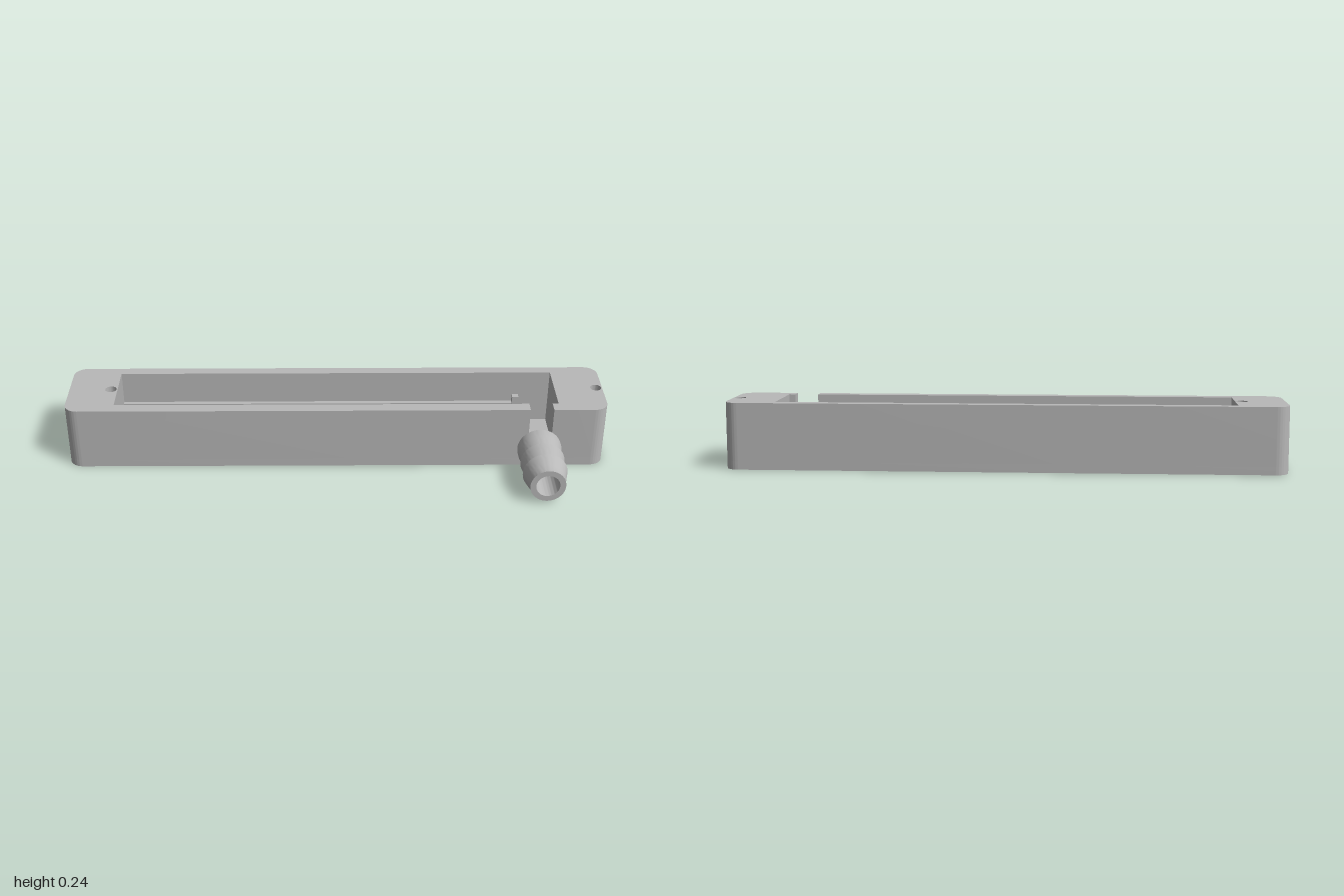
import * as THREE from 'three';
import { toCreasedNormals } from 'three/addons/utils/BufferGeometryUtils.js';

const FRONT = 0.035, BACK = -0.28, TOP = 0.24, FLOOR = 0.03;
const IN_FRONT = -0.01, IN_BACK = -0.24, IN_X = 0.82;
const BORE = { x: 0.755, y: 0.0735, r: 0.043 };

// Shapes are drawn in (x, -z) and extruded upwards
function extrudeUp(shape, y0, y1) {
  const g = new THREE.ExtrudeGeometry(shape, { depth: y1 - y0, bevelEnabled: false, curveSegments: 12 });
  g.rotateX(-Math.PI / 2).translate(0, y0, 0);
  return toCreasedNormals(g, 0.5);
}

// Rounded outer outline, starting and ending on the front edge
function traceOutline(s, startX, endX, r = 0.05) {
  const f = -FRONT, b = -BACK, q = Math.PI / 2;
  s.moveTo(startX, f);
  s.lineTo(1 - r, f);
  s.absarc(1 - r, f + r, r, -q, 0, false);
  s.absarc(1 - r, b - r, r, 0, q, false);
  s.absarc(-1 + r, b - r, r, q, 2 * q, false);
  s.absarc(-1 + r, f + r, r, 2 * q, 3 * q, false);
  s.lineTo(endX, f);
}

export function createModel() {
  const model = new THREE.Group();
  const grey = new THREE.MeshStandardMaterial({ color: 0xb8b8b8 });
  const add = (name, geometry) => {
    const mesh = new THREE.Mesh(geometry, grey);
    mesh.name = name;
    model.add(mesh);
  };
  const block = (name, x0, x1, y0, y1, z0, z1) => add(name,
    new THREE.BoxGeometry(x1 - x0, y1 - y0, z1 - z0)
      .translate((x0 + x1) / 2, (y0 + y1) / 2, (z0 + z1) / 2));

  // Floor slab
  const base = new THREE.Shape();
  traceOutline(base, 0, 0);
  add('floor', extrudeUp(base, 0, FLOOR));

  // Walls around the cavity, open at the front slot, with screw holes
  const slotL = BORE.x + BORE.r, slotR = BORE.x - BORE.r;
  const walls = new THREE.Shape();
  traceOutline(walls, slotL, slotR);
  [[slotR, IN_FRONT], [-IN_X, IN_FRONT], [-IN_X, IN_BACK], [IN_X, IN_BACK], [IN_X, IN_FRONT], [slotL, IN_FRONT]]
    .forEach(([x, z]) => walls.lineTo(x, -z));
  for (const x of [-0.845, 0.976]) {
    walls.holes.push(new THREE.Path().absarc(x, 0.125, 0.021, 0, Math.PI * 2, true));
  }
  add('walls', extrudeUp(walls, FLOOR, TOP));

  // Rounded bottom of the slot
  const cradle = new THREE.Shape();
  cradle.moveTo(slotR, FLOOR);
  cradle.lineTo(slotL, FLOOR);
  cradle.lineTo(slotL, BORE.y);
  cradle.absarc(BORE.x, BORE.y, BORE.r, 0, -Math.PI, true);
  const cradleGeo = new THREE.ExtrudeGeometry(cradle, { depth: FRONT - IN_FRONT, bevelEnabled: false, curveSegments: 24 });
  add('slotBottom', toCreasedNormals(cradleGeo.translate(0, 0, IN_FRONT), 0.5));

  // Ledges along both long walls, each with an end stop
  const ledges = [['back', IN_BACK, 1], ['front', IN_FRONT, -1]];
  for (const [side, z, dir] of ledges) {
    const strip = (w) => [Math.min(z, z + dir * w), Math.max(z, z + dir * w)];
    block(side + 'Ledge', -IN_X, 0.69, FLOOR, 0.115, ...strip(0.017));
    block(side + 'Stop', 0.68, 0.704, FLOOR, 0.145, ...strip(0.024));
  }

  // Barbed hose fitting: hollow lathe, flattened where it meets the ground
  const profile = [
    [BORE.r, FRONT], [0.081, FRONT], [0.081, 0.058], [0.07, 0.127],
    [0.081, 0.127], [0.07, 0.199], [0.081, 0.199], [0.064, 0.27],
    [0.064, 0.283], [BORE.r, 0.283], [BORE.r, FRONT],
  ];
  const points = [];
  profile.forEach(([r, z], i) => {
    const [r0, z0] = profile[Math.max(i - 1, 0)];
    const steps = i > 0 && r !== r0 && z !== z0 ? 4 : 1;
    for (let k = 1; k <= steps; k++) {
      points.push(new THREE.Vector2(r0 + (r - r0) * k / steps, z0 + (z - z0) * k / steps));
    }
  });
  const barb = new THREE.LatheGeometry(points, 64).rotateX(Math.PI / 2).translate(BORE.x, BORE.y, 0);
  const p = barb.attributes.position;
  for (let i = 0; i < p.count; i++) p.setY(i, Math.max(0, p.getY(i)));
  add('hoseBarb', toCreasedNormals(barb, 0.5));

  return model;
}
